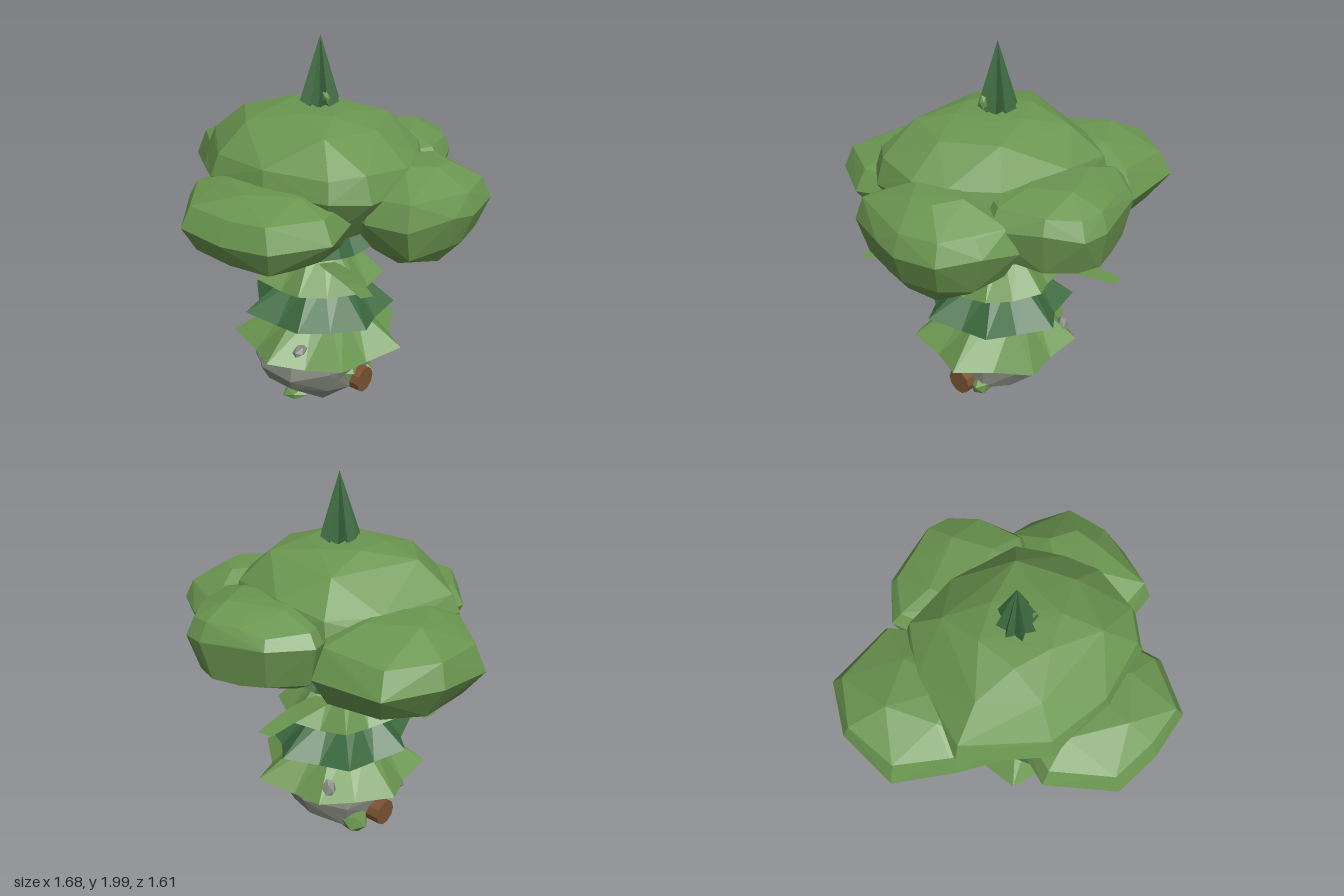
import * as THREE from 'three';
import { ConvexGeometry } from 'three/addons/geometries/ConvexGeometry.js';

function mat(name, color, side = THREE.FrontSide) {
  const m = new THREE.MeshStandardMaterial({ color, side, flatShading: true });
  m.name = name;
  return m;
}

// seeded jitter in -1..1
function seeded(seed) {
  let s = seed * 7919 + 17;
  return () => {
    s = (s * 16807) % 2147483647;
    return (s / 2147483647) * 2 - 1;
  };
}

// faceted lump: a plan outline [x, z] repeated at levels [y, scale, xShift, zShift]
function lump(outline, profile, { jitter = 0.02, seed = 1 } = {}) {
  const rnd = seeded(seed);
  const xs = outline.map(p => p[0]), zs = outline.map(p => p[1]);
  const cx = (Math.min(...xs) + Math.max(...xs)) / 2;
  const cz = (Math.min(...zs) + Math.max(...zs)) / 2;
  const pts = [];
  profile.forEach(([y, k, sx = 0, sz = 0], level) => {
    outline.forEach(([x, z], i) => {
      if (k < 0.75 && (i + level) % 2) return; // fewer corners near the caps
      pts.push(new THREE.Vector3(
        cx + (x - cx) * k + sx + rnd() * jitter * 0.4,
        y + rnd() * jitter * (k < 0.6 ? 0.4 : 1),
        cz + (z - cz) * k + sz + rnd() * jitter * 0.4));
    });
  });
  return new ConvexGeometry(pts);
}

// pleated skirt: star-shaped hem, narrower top, recessed underside
function skirt({ y0, y1, r0, r1, points, inner = 0.82, lift = 0.03, turn = 0, seed = 1 }) {
  const rnd = seeded(seed), n = points * 2, pos = [], idx = [];
  for (let i = 0; i < n; i++) {
    const a = turn + (i / n) * Math.PI * 2, tip = i % 2 === 0;
    const r = r0 * (tip ? 1 + rnd() * 0.04 : inner);
    pos.push(Math.sin(a) * r, y0 + (tip ? lift : 0), Math.cos(a) * r);
    const t = r1 * (tip ? 1 : 0.9);
    pos.push(Math.sin(a) * t, y1, Math.cos(a) * t);
  }
  pos.push(0, y1, 0, 0, y0 + (y1 - y0) * 0.3, 0);
  for (let i = 0; i < n; i++) {
    const a = i * 2, b = ((i + 1) % n) * 2;
    idx.push(a, b, b + 1, a, b + 1, a + 1, a + 1, b + 1, n * 2, b, a, n * 2 + 1);
  }
  const g = new THREE.BufferGeometry();
  g.setAttribute('position', new THREE.Float32BufferAttribute(pos, 3));
  g.setIndex(idx);
  const flat = g.toNonIndexed();
  flat.computeVertexNormals();
  return flat;
}

// thin frond ribbon rising from the trunk and levelling out at its tip
function frond([tx, ty, tz], width) {
  const len = Math.hypot(tx, tz), ux = tx / len, uz = tz / len, pos = [], idx = [];
  const rows = [[0.15, 0, 0.5], [0.38, 0.42, 1], [0.6, 0.78, 1], [0.8, 0.96, 0.85], [1, 1, 0.65]];
  rows.forEach(([t, rise, w], i) => {
    const h = width * w / 2, y = 0.87 + (ty - 0.87) * rise;
    pos.push(tx * t - uz * h, y, tz * t + ux * h, tx * t + uz * h, y, tz * t - ux * h);
    if (i) idx.push(i * 2 - 2, i * 2 - 1, i * 2 + 1, i * 2 - 2, i * 2 + 1, i * 2);
  });
  const g = new THREE.BufferGeometry();
  g.setAttribute('position', new THREE.Float32BufferAttribute(pos, 3));
  g.setIndex(idx);
  g.computeVertexNormals();
  return g;
}

export function createModel() {
  const root = new THREE.Group();
  root.name = 'tree';
  const leaf = mat('leafGreen', 0x6b9650);
  const pine = mat('pineGreen', 0x3d6b40);
  const frondMat = mat('frondGreen', 0x6b9650, THREE.DoubleSide);
  const stone = mat('stoneGrey', 0x878c80);
  const wood = mat('logBrown', 0x7a5233);
  const add = (name, geometry, material, x = 0, y = 0, z = 0) => {
    const m = new THREE.Mesh(geometry, material);
    m.name = name;
    m.position.set(x, y, z);
    root.add(m);
    return m;
  };

  // canopy clumps
  add('canopyCentre', lump(
    [[-0.57, 0.15], [-0.46, -0.25], [-0.28, -0.48], [0.04, -0.5], [0.4, -0.39], [0.55, -0.16],
      [0.6, 0.02], [0.55, 0.28], [0.42, 0.43], [0.1, 0.5], [-0.25, 0.46], [-0.43, 0.31]],
    [[1.04, 0.45], [1.14, 0.76], [1.37, 1], [1.47, 0.94], [1.61, 0.65], [1.66, 0.36]], { seed: 2 }), leaf);
  add('canopyFront', lump(
    [[-0.36, 0.5], [-0.14, 0.78], [0.12, 0.8], [0.36, 0.77], [0.5, 0.5], [0.43, 0.22], [0.1, 0.05], [-0.27, 0.2]],
    [[1.03, 0.45], [1.11, 0.84], [1.24, 1], [1.33, 0.88], [1.4, 0.52]], { seed: 4 }), leaf);
  add('canopyRight', lump(
    [[-0.85, -0.35], [-0.85, -0.02], [-0.6, 0.18], [-0.4, 0.3], [-0.12, 0.1], [-0.1, -0.3], [-0.31, -0.61], [-0.69, -0.59]],
    [[1.01, 0.42, 0.07], [1.1, 0.78, 0.03], [1.25, 1], [1.38, 0.87], [1.46, 0.42]], { seed: 6 }), leaf);
  add('canopyLeft', lump(
    [[0.45, -0.53], [0.62, -0.47], [0.8, -0.38], [0.84, -0.15], [0.82, -0.02], [0.73, 0.24], [0.5, 0.26], [0.25, 0.1], [0.22, -0.3]],
    [[0.99, 0.45, 0.04], [1.09, 0.83], [1.25, 1], [1.36, 0.87], [1.46, 0.35, 0.03]], { seed: 9 }), leaf);
  add('canopyBack', lump(
    [[-0.3, -0.55], [-0.15, -0.73], [0, -0.76], [0.18, -0.81], [0.31, -0.78], [0.42, -0.64], [0.5, -0.4], [0.35, -0.15], [-0.15, -0.15]],
    [[1.06, 0.45, 0, 0.04], [1.16, 0.87], [1.35, 1], [1.42, 0.87], [1.48, 0.45]], { seed: 11 }), leaf);

  // stacked conifer tiers, ending in the spire
  const tiers = [
    [0.37, 0.58, 0.46, 0.21, leaf, 0.02],
    [0.56, 0.76, 0.4, 0.19, pine, 0.38],
    [0.74, 0.95, 0.35, 0.15, leaf, 0.35],
    [0.92, 1.2, 0.29, 0.09, pine, 0.15],
  ];
  tiers.forEach(([y0, y1, r0, r1, m, turn], i) => add('tier' + (i + 1),
    skirt({ y0, y1, r0, r1, points: 7, turn, seed: i + 3 }), m, 0.03, 0, -0.02));
  add('spire', skirt({ y0: 1.66, y1: 2, r0: 0.1, r1: 0.001, points: 8, inner: 0.62, turn: 0.2, seed: 8 }),
    pine, 0.025, 0, -0.025);

  // drooping fronds under the canopy
  [[[0.6, 0.95, 0.36], 0.1], [[-0.61, 0.95, -0.1], 0.12], [[0.12, 1.04, 0.62], 0.16], [[-0.1, 0.92, -0.7], 0.12]]
    .forEach(([tip, w], i) => add('frond' + (i + 1), frond(tip, w), frondMat));

  // boulder with a pointed underside
  const boulder = [[0.31, 0.05], [0.28, 0.22], [0.12, 0.33], [-0.1, 0.31], [-0.22, 0.18],
    [-0.25, -0.03], [-0.2, -0.24], [0, -0.33], [0.2, -0.29], [0.3, -0.15]];
  add('boulder', lump(boulder, [[0.015, 0.05], [0.1, 0.62], [0.18, 0.88], [0.3, 1], [0.4, 0.97], [0.46, 0.7]],
    { jitter: 0.03, seed: 5 }), stone);

  // log lying through the boulder
  add('log', new THREE.CylinderGeometry(0.07, 0.07, 0.63, 10), wood, 0.022, 0.195, -0.025).rotation.z = Math.PI / 2;

  // pebbles, moss tufts and a sprig at the spire
  const chip = (name, material, x, y, z, sx, sy, sz, turn) => {
    const m = add(name, new THREE.IcosahedronGeometry(1, 0), material, x, y, z);
    m.scale.set(sx, sy, sz);
    m.rotation.set(turn, turn * 2, turn * 0.5);
  };
  [
    [0.14, 0.45, 0.28, 0.035, 0.025, 0.06, 0.1], [-0.16, 0.45, -0.33, 0.04, 0.06, 0.03, 0.2],
    [-0.18, 0.27, 0.17, 0.08, 0.07, 0.08, 0.5], [0.25, 0.31, 0.13, 0.07, 0.07, 0.07, 0.8],
  ].forEach((p, i) => chip('pebble' + (i + 1), stone, ...p));
  [
    [0.07, 0.14, 0.23, 0.08, 0.03, 0.05, 0.2], [0.26, 0.18, -0.12, 0.06, 0.05, 0.06, 0.4],
    [0.27, 0.26, 0.04, 0.05, 0.04, 0.06, 0.2], [-0.19, 0.18, -0.16, 0.08, 0.07, 0.09, 0.3],
  ].forEach((p, i) => chip('moss' + (i + 1), leaf, ...p));
  chip('sprig', leaf, 0.09, 1.71, 0.01, 0.02, 0.04, 0.02, 0.2);

  return root;
}
